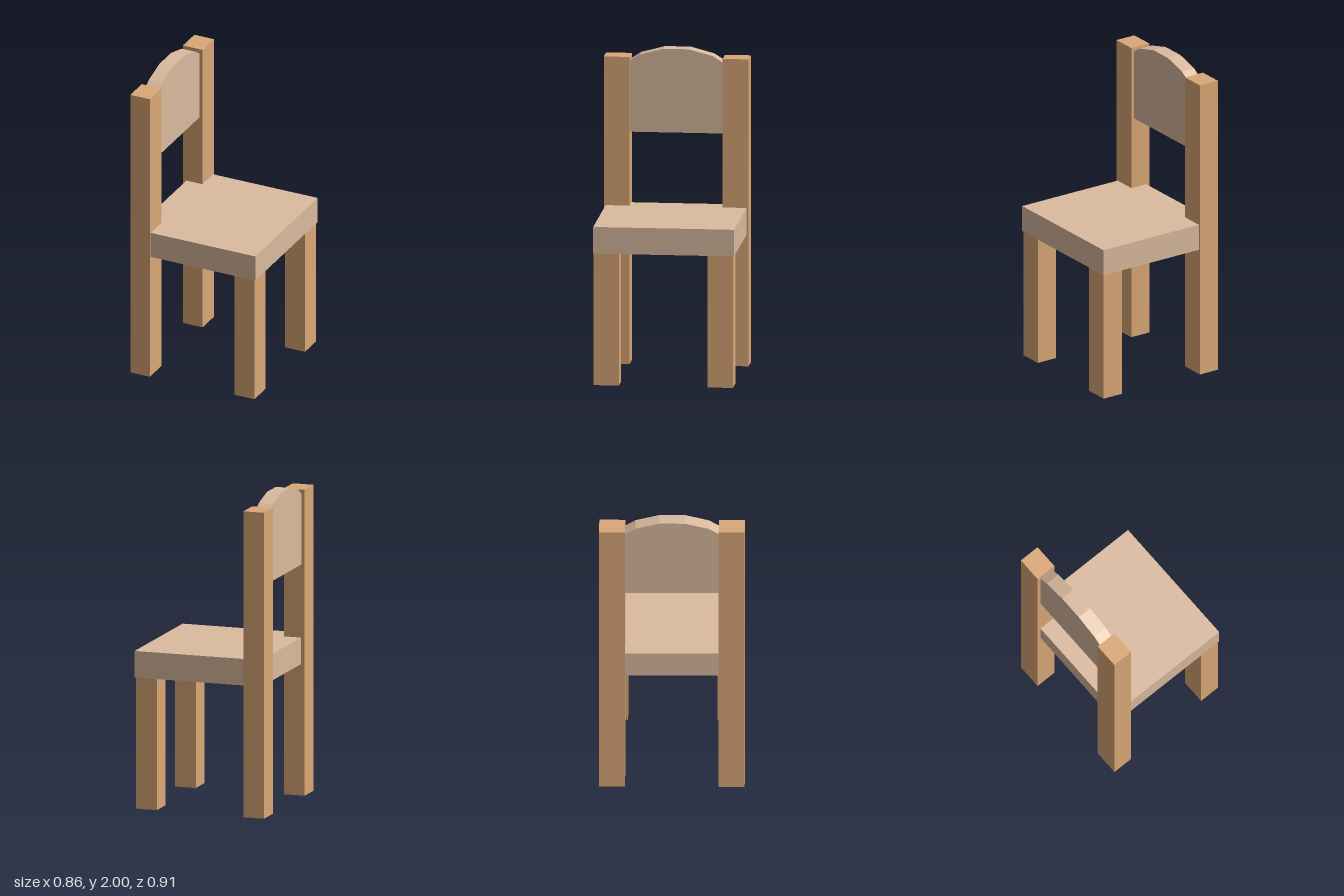
import * as THREE from 'three';

export function createModel() {
  const chair = new THREE.Group();
  chair.name = 'chair';

  const legWood = new THREE.MeshStandardMaterial({ color: 0xdba877, flatShading: true });
  const panelWood = new THREE.MeshStandardMaterial({ color: 0xdbbb9f, flatShading: true });

  // Box given by its extents on each axis
  const block = (name, material, [x0, x1], [y0, y1], [z0, z1]) => {
    const mesh = new THREE.Mesh(new THREE.BoxGeometry(x1 - x0, y1 - y0, z1 - z0), material);
    mesh.position.set((x0 + x1) / 2, (y0 + y1) / 2, (z0 + z1) / 2);
    mesh.name = name;
    chair.add(mesh);
  };

  // Tall back posts and short front legs, one pair per side
  block('backPostNear', legWood, [-0.432, -0.296], [0, 1.948], [0.29, 0.452]);
  block('backPostFar', legWood, [-0.432, -0.296], [0, 1.948], [-0.455, -0.293]);
  block('frontLegNear', legWood, [0.285, 0.423], [0, 0.836], [0.28, 0.438]);
  block('frontLegFar', legWood, [0.285, 0.423], [0, 0.836], [-0.435, -0.277]);

  // Seat slab, reaching back between the posts
  block('seat', panelWood, [-0.408, 0.43], [0.836, 1.005], [-0.443, 0.44]);

  // Backrest panel with a faceted arched top, tucked into the posts
  const arch = new THREE.Shape([
    [-0.31, 1.47], [0.31, 1.47], [0.31, 1.908], [0.23, 1.96],
    [0.08, 2], [-0.08, 2], [-0.23, 1.96], [-0.31, 1.908],
  ].map(([z, y]) => new THREE.Vector2(z, y)));
  const panel = new THREE.ExtrudeGeometry(arch, { depth: 0.093, bevelEnabled: false });
  panel.rotateY(-Math.PI / 2);
  const backrest = new THREE.Mesh(panel, panelWood);
  backrest.position.x = -0.317;
  backrest.name = 'backrest';
  chair.add(backrest);

  return chair;
}
